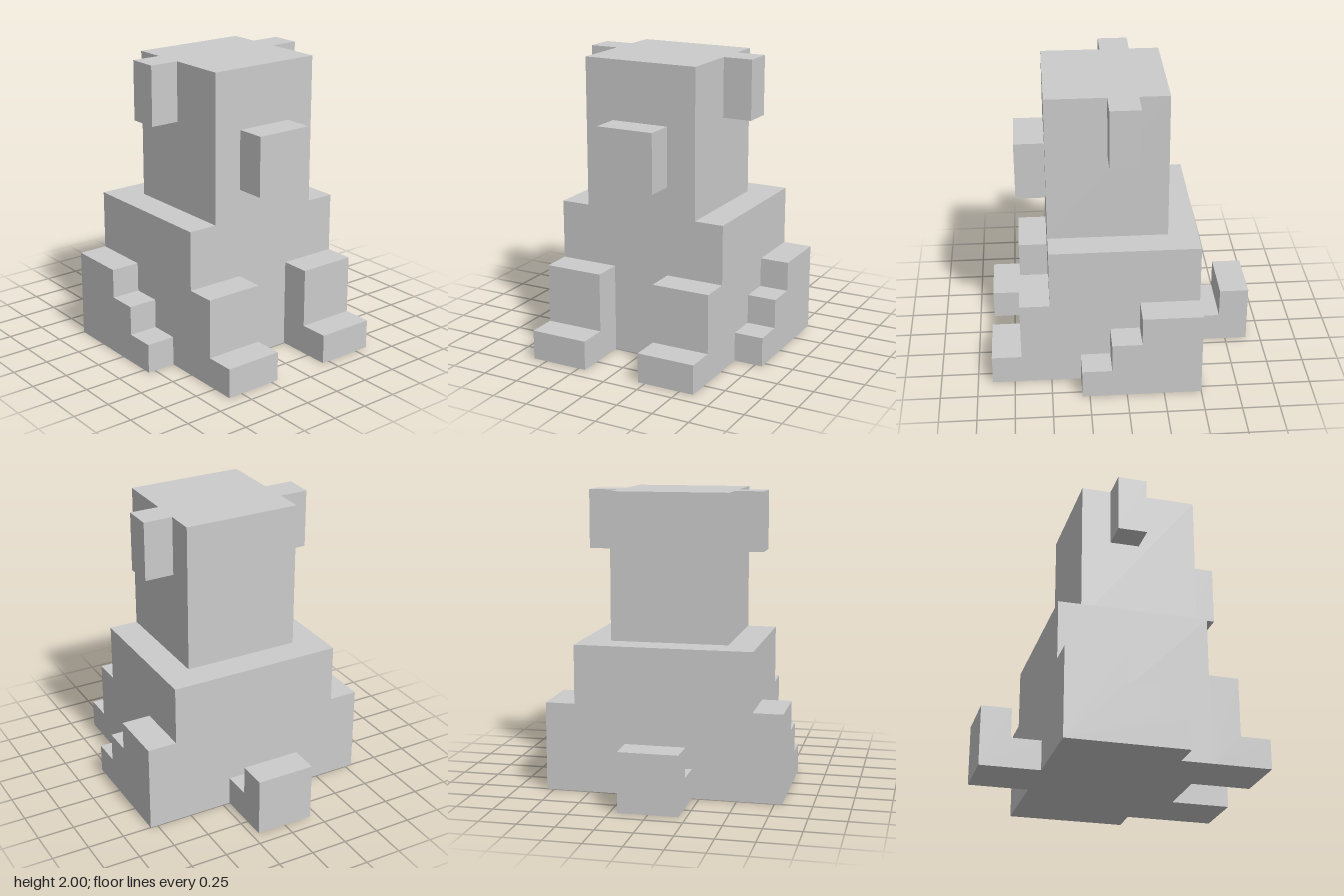
import * as THREE from 'three';

const material = new THREE.MeshStandardMaterial({ color: 0xcccccc, flatShading: true });

// Box given by its extents on each axis
function block(name, [x0, x1], [y0, y1], [z0, z1]) {
  const mesh = new THREE.Mesh(new THREE.BoxGeometry(x1 - x0, y1 - y0, z1 - z0), material);
  mesh.position.set((x0 + x1) / 2, (y0 + y1) / 2, (z0 + z1) / 2);
  mesh.name = name;
  return mesh;
}

// Stepped side profile (x, y) extruded from z0 to z1
function stepped(name, profile, z0, z1) {
  const shape = new THREE.Shape(profile.map(([x, y]) => new THREE.Vector2(x, y)));
  const geometry = new THREE.ExtrudeGeometry(shape, { depth: z1 - z0, bevelEnabled: false });
  const mesh = new THREE.Mesh(geometry, material);
  mesh.position.z = z0;
  mesh.name = name;
  return mesh;
}

export function createModel() {
  const model = new THREE.Group();
  model.name = 'sittingAnimal';

  // Body, head and snout; the animal looks along +x
  model.add(
    block('body', [-0.5, 0.5], [0, 1], [-0.6, 0.6]),
    block('head', [-0.3, 0.5], [1, 2], [-0.4, 0.4]),
    block('snout', [0.5, 0.7], [1.2, 1.6], [-0.2, 0.2])
  );

  // Tail with raised tip
  const tail = [[-0.9, 0], [-0.5, 0], [-0.5, 0.2], [-0.7, 0.2], [-0.7, 0.4], [-0.9, 0.4]];
  model.add(stepped('tail', tail, -0.2, 0.2));

  // Paired parts: ears, front legs with paws, folded hind legs
  const frontLeg = [[0.5, 0], [0.9, 0], [0.9, 0.2], [0.7, 0.2], [0.7, 0.6], [0.5, 0.6]];
  const hindLeg = [[-0.5, 0], [0.3, 0], [0.3, 0.2], [0.1, 0.2], [0.1, 0.4],
    [-0.1, 0.4], [-0.1, 0.6], [-0.5, 0.6]];
  for (const side of [-1, 1]) {
    const range = (a, b) => (side > 0 ? [a, b] : [-b, -a]);
    const label = side > 0 ? 'Front' : 'Back';
    model.add(
      block('ear' + label, [-0.1, 0.1], [1.6, 2], range(0.4, 0.6)),
      stepped('frontLeg' + label, frontLeg, ...range(0.2, 0.6)),
      stepped('hindLeg' + label, hindLeg, ...range(0.6, 0.8))
    );
  }
  return model;
}
